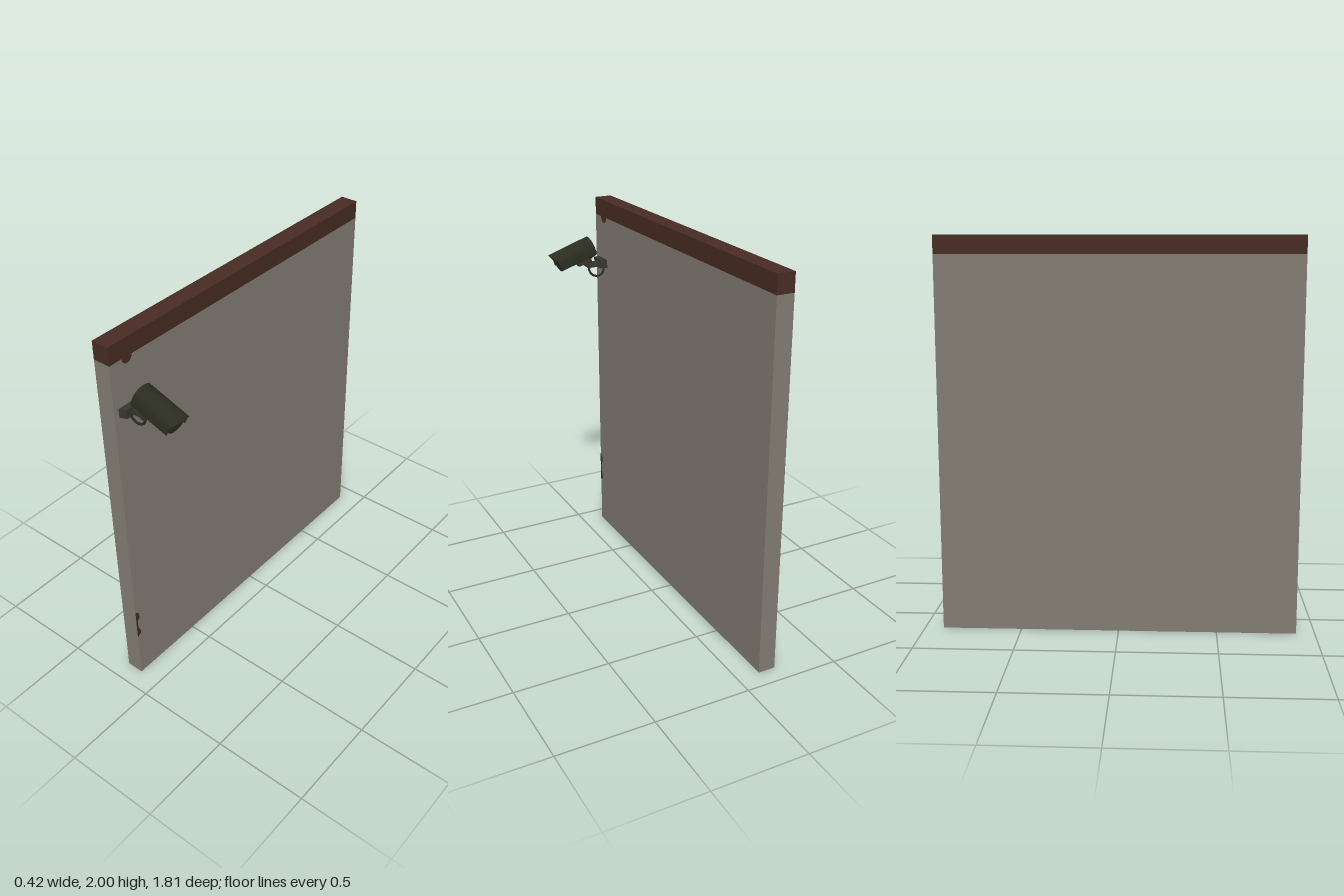
import * as THREE from 'three';
import { toCreasedNormals } from 'three/addons/utils/BufferGeometryUtils.js';

const material = (name, color) => Object.assign(new THREE.MeshStandardMaterial({ color }), { name });

export function createModel() {
  const plaster = material('plaster', 0x827c72);
  const brown = material('brown coping', 0x472c23);
  const casing = material('dark casing', 0x2b2c20);
  const metal = material('bracket metal', 0x37362d);
  const glass = material('lens glass', 0x33342a);

  const model = new THREE.Group();
  model.name = 'wallWithCamera';
  const add = (parent, name, geometry, mat, x = 0, y = 0, z = 0) => {
    const mesh = new THREE.Mesh(geometry, mat);
    mesh.name = name;
    mesh.position.set(x, y, z);
    parent.add(mesh);
    return mesh;
  };
  const box = (w, h, d) => new THREE.BoxGeometry(w, h, d);
  // Cylinder lying along x; r0 at the -x end, r1 at the +x end
  const rod = (r0, r1, length, sides = 32) =>
    new THREE.CylinderGeometry(r1, r0, length, sides).rotateZ(-Math.PI / 2);

  // Wall and coping
  const wallX = -0.165, face = -0.12;
  add(model, 'wall', box(0.09, 1.907, 1.81), plaster, wallX, 0.9535, 0);
  add(model, 'coping', box(0.09, 0.093, 1.81), brown, wallX, 1.9535, 0);

  // Thin worn patches on the wall face
  const patch = (name, points, y, z) => {
    const shape = new THREE.Shape(points.map(([a, b]) => new THREE.Vector2(a, b)));
    const geo = new THREE.ExtrudeGeometry(shape, { depth: 0.002, bevelEnabled: false }).rotateY(Math.PI / 2);
    add(model, name, geo, brown, face, y, z);
  };
  patch('upperPatch', [[-0.03, 0], [-0.025, -0.018], [-0.012, -0.03], [0.012, -0.03], [0.025, -0.018], [0.03, 0]], 1.907, 0.803);
  patch('lowerPatch', [[0, 0], [0.022, 0.012], [0.022, 0.035], [0.012, 0.06], [0.006, 0.09],
    [0.012, 0.115], [0.022, 0.125], [0.022, 0.155], [0, 0.175]], 0.265, 0.905);

  // Bracket: tapered wall plate, arm, knuckle and cable
  const camera = new THREE.Group();
  camera.name = 'securityCamera';
  camera.position.z = 0.81;
  model.add(camera);
  const plate = box(0.035, 0.046, 0.11);
  const p = plate.attributes.position;
  for (let i = 0; i < p.count; i++) if (p.getX(i) > 0) p.setZ(i, p.getZ(i) * 0.75);
  plate.computeVertexNormals();
  add(camera, 'wallPlate', plate, metal, face + 0.0175, 1.652, 0.012);
  add(camera, 'arm', box(0.065, 0.025, 0.04), metal, -0.056, 1.649, 0);
  add(camera, 'knuckle', rod(0.022, 0.022, 0.05, 20).rotateY(Math.PI / 2), metal, -0.024, 1.657, 0);
  const cable = new THREE.CatmullRomCurve3([[-0.12, 1.625], [-0.11, 1.595], [-0.08, 1.58], [-0.045, 1.592], [-0.028, 1.622], [-0.026, 1.65]]
    .map(([x, y]) => new THREE.Vector3(x, y, 0)));
  add(camera, 'cable', new THREE.TubeGeometry(cable, 28, 0.006, 8), casing);

  // Tilted housing: local +x points along the lens
  const housing = new THREE.Group();
  housing.name = 'housing';
  housing.position.set(-0.0425, 1.75, 0);
  housing.rotation.z = -0.33;
  camera.add(housing);
  add(housing, 'mount', box(0.08, 0.022, 0.04), metal, 0.068, -0.058, 0);
  add(housing, 'backCap', rod(0.055, 0.058, 0.03), casing, 0.015, 0, 0);
  add(housing, 'barrel', rod(0.053, 0.051, 0.185), casing, 0.1175, 0, 0);
  add(housing, 'lensRim', new THREE.TorusGeometry(0.045, 0.005, 8, 32).rotateY(Math.PI / 2), casing, 0.209, 0, 0);
  add(housing, 'lens', rod(0.04, 0.04, 0.004), glass, 0.2115, 0, 0);

  // Arched sunshield, with its front edge cut back below the peak
  const shell = new THREE.Shape();
  shell.moveTo(0.06, -0.03);
  shell.lineTo(0.06, 0);
  shell.absarc(0, 0, 0.06, 0, Math.PI, false);
  shell.lineTo(-0.06, -0.03);
  shell.lineTo(-0.055, -0.03);
  shell.lineTo(-0.055, 0);
  shell.absarc(0, 0, 0.055, Math.PI, 0, true);
  shell.lineTo(0.055, -0.03);
  let hood = new THREE.ExtrudeGeometry(shell, { depth: 0.2, bevelEnabled: false, curveSegments: 24 });
  const h = hood.attributes.position;
  for (let i = 0; i < h.count; i++) {
    if (h.getZ(i) > 0.1) h.setZ(i, 0.214 + Math.max(0, h.getY(i) - 0.012) * 0.63);
  }
  hood = toCreasedNormals(hood, 0.6).rotateY(Math.PI / 2);
  add(housing, 'sunshield', hood, casing);

  return model;
}
